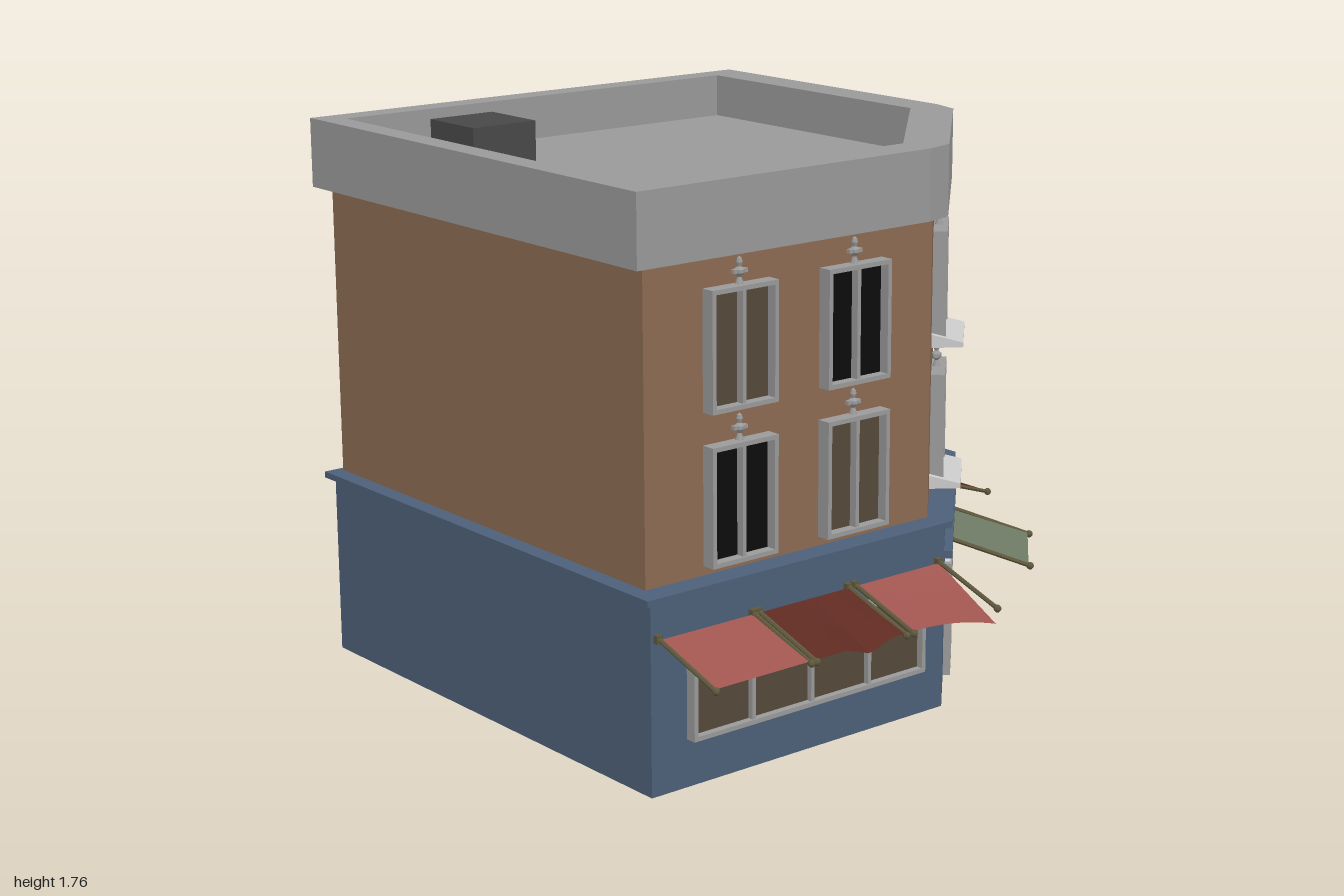
import * as THREE from 'three';

const paint = (color, side = THREE.FrontSide) =>
  new THREE.MeshStandardMaterial({ color, side, flatShading: true });

const brick = paint(0x8c6b52), blue = paint(0x4c6079), stone = paint(0x999999);
const trim = paint(0x9a9a9a), pale = paint(0xdddddd), black = paint(0x0c0c0c);
const tan = paint(0x54493a), dark = paint(0x484848), olive = paint(0x5e573c);
const lightRed = paint(0xa05550, THREE.DoubleSide);
const darkRed = paint(0x5f2a22, THREE.DoubleSide);
const green = paint(0x6e7a64, THREE.DoubleSide);

function add(parent, name, geometry, material, x = 0, y = 0, z = 0) {
  const mesh = new THREE.Mesh(geometry, material);
  mesh.name = name;
  mesh.position.set(x, y, z);
  parent.add(mesh);
  return mesh;
}

const box = (w, h, d) => new THREE.BoxGeometry(w, h, d);

// Vertical prism over an [x, z] floor plan, optionally with a hole
function prism(plan, y0, y1, hole) {
  const toPoints = p => p.map(([x, z]) => new THREE.Vector2(x, -z));
  const shape = new THREE.Shape(toPoints(plan));
  if (hole) shape.holes.push(new THREE.Path(toPoints(hole)));
  return new THREE.ExtrudeGeometry(shape, { depth: y1 - y0, bevelEnabled: false })
    .rotateX(-Math.PI / 2).translate(0, y0, 0);
}

// Plan of a block with its front right corner cut off
const cutPlan = (x0, x1, z0, z1, cx, cz) => [[x0, z1], [cx, z1], [x1, cz], [x1, z0], [x0, z0]];

// Rectangular frame standing on y = 0, extruded outward
function frameGeometry(w, h, t, depth) {
  const rect = (a, b, c, d) => [[a, b], [c, b], [c, d], [a, d]].map(p => new THREE.Vector2(...p));
  const shape = new THREE.Shape(rect(-w / 2, 0, w / 2, h));
  shape.holes.push(new THREE.Path(rect(-w / 2 + t, t, w / 2 - t, h - t)));
  return new THREE.ExtrudeGeometry(shape, { depth, bevelEnabled: false });
}

function glazed(name, w, h, depth, glass, cols, rows, t = 0.014) {
  const g = new THREE.Group();
  g.name = name;
  add(g, 'frame', frameGeometry(w, h, t, depth), trim);
  add(g, 'glass', box(w - t, h - t, 0.012), glass, 0, h / 2, 0.006);
  for (let i = 1; i < cols; i++)
    add(g, 'mullion', box(0.013, h - t, depth * 0.8), trim, -w / 2 + w * i / cols, h / 2, depth * 0.45);
  for (let j = 1; j < rows; j++)
    add(g, 'glazingBar', box(w - t, 0.01, depth * 0.7), trim, 0, h * j / rows, depth * 0.4);
  return g;
}

// Upper window with a finial above it
function upperWindow(glass, sill) {
  const g = glazed('upperWindow', 0.245, 0.36, 0.045, glass, 2, 1);
  const profile = [[0, 0], [0.013, 0], [0.006, 0.02], [0.016, 0.032], [0.016, 0.042], [0.006, 0.05],
    [0.01, 0.062], [0.007, 0.074], [0, 0.08]].map(p => new THREE.Vector2(...p));
  add(g, 'finial', new THREE.LatheGeometry(profile, 8), trim, 0, 0.36, 0.015);
  add(g, 'finialArms', box(0.05, 0.012, 0.015), trim, 0, 0.397, 0.015);
  if (sill) {
    // Wedge shaped sill, thin at its front edge
    const side = new THREE.Shape([[0, -0.005], [0.1, 0], [0.1, 0.015], [0, 0.038]].map(p => new THREE.Vector2(...p)));
    const wedge = new THREE.ExtrudeGeometry(side, { depth: 0.29, bevelEnabled: false })
      .rotateY(-Math.PI / 2).translate(0.145, 0, 0);
    add(g, 'windowSill', wedge, pale);
  }
  return g;
}

// Pole between two points, with a ball on the outer end
function pole(parent, x) {
  const a = new THREE.Vector3(x, 0.485, 0), b = new THREE.Vector3(x, 0.398, 0.265);
  add(parent, 'awningPole', new THREE.TubeGeometry(new THREE.LineCurve3(a, b), 1, 0.007, 6), olive);
  add(parent, 'poleTip', new THREE.SphereGeometry(0.012, 8, 6), olive, b.x, b.y, b.z);
  add(parent, 'poleBracket', box(0.02, 0.025, 0.02), olive, x, 0.48, 0.005);
}

// Cloth sheet; bend(s, t) gives [drop, outward shift], s across and t outward
function awning(w, material, bend = () => [0, 0], poles = [-1, 1]) {
  const g = new THREE.Group();
  g.name = 'awning';
  const cloth = new THREE.PlaneGeometry(1, 1, 12, 4), p = cloth.attributes.position;
  for (let i = 0; i < p.count; i++) {
    const s = p.getX(i) + 0.5, t = 0.5 - p.getY(i), [drop, shift] = bend(s, t);
    p.setXYZ(i, (s - 0.5) * w, 0.478 - 0.075 * t - drop, 0.01 + 0.25 * t + shift);
  }
  cloth.computeVertexNormals();
  add(g, 'awningCloth', cloth, material);
  poles.forEach(k => pole(g, k * w / 2));
  return g;
}

const cornerSag = (s, t) => [0.055 * s * s * t, 0];
const middleSag = (s, t) => [0.03 * t * Math.max(0, 1 - Math.abs(s - 0.6) * 4), 0];
const collapsed = (s, t) => [(0.2 + 0.01 * t) * s ** 2.4, s * s * (0.055 - 0.08 * t)];

function doorway() {
  const g = glazed('door', 0.225, 0.375, 0.025, black, 2, 4, 0.018);
  // Arched fanlight over the door
  const arch = new THREE.Shape();
  arch.moveTo(-0.095, 0);
  arch.quadraticCurveTo(0, 0.06, 0.095, 0);
  add(g, 'fanlight', new THREE.ExtrudeGeometry(arch, { depth: 0.02, bevelEnabled: false, curveSegments: 10 }),
    pale, 0, 0.37, 0);
  add(g, 'doorHandle', new THREE.SphereGeometry(0.008, 8, 6), trim, 0.025, 0.17, 0.03);
  return g;
}

export function createModel() {
  const model = new THREE.Group();
  model.name = 'cornerShopBuilding';

  // Main masses
  add(model, 'shopStorey', prism(cutPlan(-0.975, 0.715, -0.957, 0.705, 0.17, 0.155), 0, 0.585), blue);
  add(model, 'shopCornice', prism(cutPlan(-1, 0.735, -0.98, 0.725, 0.185, 0.17), 0.585, 0.605), blue);
  add(model, 'upperStoreys', prism(cutPlan(-0.945, 0.675, -0.957, 0.645, 0.155, 0.117), 0.6, 1.545), brick);

  // Roof with a hollow parapet
  const rim = [[-0.99, 0.68], [0.11, 0.68], [0.21, 0.655], [0.7, 0.165], [0.725, 0.065], [0.725, -1], [-0.99, -1]];
  const inner = cutPlan(-0.91, 0.6, -0.915, 0.56, 0.11, 0.07);
  add(model, 'parapet', prism(rim, 1.54, 1.76, inner), stone);
  add(model, 'roof', prism(inner, 1.54, 1.62), stone);
  add(model, 'roofVent', box(0.235, 0.145, 0.235), dark, -0.61, 1.692, -0.595);

  // Walls: u runs along the wall, out is its distance from the centre
  const wall = (name, angle) => {
    const g = new THREE.Group();
    g.name = name;
    g.rotation.y = angle;
    model.add(g);
    return (part, u, y, out) => { part.position.set(u, y, out); g.add(part); };
  };
  const front = wall('frontWall', 0);
  const right = wall('sideWall', Math.PI / 2);
  const corner = wall('cornerWall', Math.PI / 4);
  const rows = [0.633, 1.09];

  // Upper windows, lower row first
  [[black, tan], [tan, black]].forEach((pair, r) =>
    pair.forEach((m, i) => front(upperWindow(m), [-0.61, -0.172][i], rows[r], 0.645)));
  [[tan, black], [tan, tan]].forEach((pair, r) =>
    pair.forEach((m, i) => right(upperWindow(m), [0.228, 0.645][i], rows[r], 0.675)));
  rows.forEach(y => corner(upperWindow(black, true), 0.024, y, 0.563));

  // Shop windows, door and band over the door
  front(glazed('shopWindow', 0.91, 0.27, 0.035, tan, 4, 1), -0.39, 0.148, 0.705);
  right(glazed('shopWindow', 0.92, 0.27, 0.035, tan, 4, 1), 0.39, 0.148, 0.715);
  corner(doorway(), 0.009, 0, 0.616);
  const band = new THREE.Mesh(box(0.785, 0.024, 0.035), blue);
  band.name = 'cornerBand';
  corner(band, 0.009, 0.497, 0.627);

  // Awnings
  front(awning(0.35, lightRed), -0.78, 0, 0.708);
  front(awning(0.35, darkRed, middleSag), -0.41, 0, 0.708);
  front(awning(0.345, lightRed, cornerSag), -0.035, 0, 0.708);
  right(awning(0.32, darkRed), 0.083, 0, 0.718);
  right(awning(0.315, lightRed, collapsed, [-1]), 0.422, 0, 0.718);
  right(awning(0.32, darkRed), 0.775, 0, 0.718);
  corner(awning(0.335, green), 0.0, 0, 0.622);

  return model;
}
